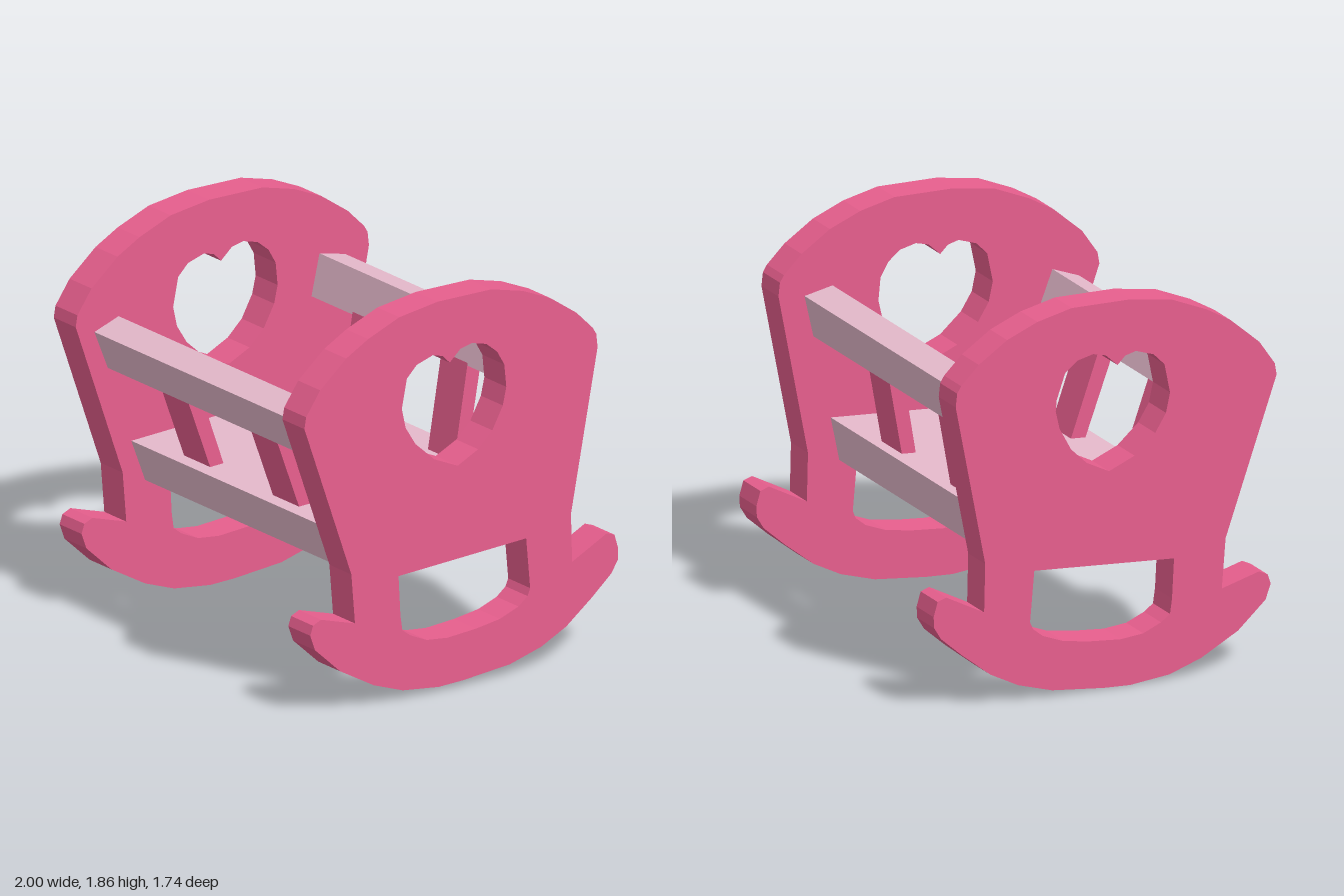
import * as THREE from 'three';

const PIVOT_Y = 0.93;

// Points are [z, y] pairs; shapes are drawn with -z across, then swept along x
const toPoints = (pts) => pts.map(([z, y]) => new THREE.Vector2(-z, y - PIVOT_Y));

// Outlines run clockwise and holes counter-clockwise so every wall faces outward
function sweepX(pts, x0, x1, holes = []) {
  const shape = new THREE.Shape(toPoints(pts));
  for (const h of holes) shape.holes.push(new THREE.Path(toPoints(h)));
  const geo = new THREE.ExtrudeGeometry(shape, { depth: x1 - x0, bevelEnabled: false });
  geo.rotateY(Math.PI / 2);
  geo.translate(x0, 0, 0);
  return geo;
}

// End panel outline: arched head, flared sides, curved rocker
const outline = [
  [0.344, 1.835], [0.13, 1.867], [-0.166, 1.867], [-0.34, 1.825], [-0.493, 1.76],
  [-0.636, 1.662], [-0.725, 1.573], [-0.745, 1.54], [-0.752, 1.475], [-0.598, 0.708],
  [-0.602, 0.477], [-0.795, 0.575], [-0.838, 0.56], [-0.858, 0.49], [-0.855, 0.437],
  [-0.82, 0.38], [-0.71, 0.285], [-0.567, 0.175], [-0.428, 0.106], [-0.255, 0.057],
  [0.007, 0.032], [0.14, 0.027], [0.34, 0.05], [0.5, 0.106], [0.686, 0.21],
  [0.824, 0.338], [0.85, 0.412], [0.834, 0.457], [0.79, 0.477], [0.602, 0.422],
  [0.62, 0.66], [0.874, 1.405], [0.864, 1.46], [0.785, 1.573], [0.64, 1.696], [0.517, 1.765],
];
const heart = [
  [0.067, 1.563], [0.106, 1.602], [0.16, 1.617], [0.25, 1.588], [0.305, 1.533],
  [0.334, 1.395], [0.314, 1.3], [0.26, 1.212], [0.156, 1.118], [0.027, 1.062],
  [-0.087, 1.118], [-0.166, 1.193], [-0.225, 1.3], [-0.245, 1.385], [-0.235, 1.494],
  [-0.196, 1.563], [-0.136, 1.612], [-0.057, 1.632], [0.007, 1.617],
];
const slot = [
  [0.35, 0.41], [0.34, 0.338], [0.295, 0.304], [0.205, 0.264], [0.09, 0.252],
  [-0.067, 0.264], [-0.2, 0.284], [-0.304, 0.323], [-0.354, 0.363], [-0.369, 0.398],
  [-0.349, 0.64], [0.359, 0.6],
];

// Cross-sections of the parts between the panels
const frontRailSection = [[0.63, 1.395], [0.765, 1.346], [0.692, 1.16], [0.56, 1.21]];
const backRailSection = [[-0.484, 1.474], [-0.626, 1.443], [-0.58, 1.245], [-0.438, 1.278]];
const bedSection = [[0.565, 0.786], [-0.49, 0.845], [-0.445, 0.636], [0.49, 0.584]];
const frontSlatSection = [[0.572, 1.22], [0.645, 1.2], [0.495, 0.78], [0.42, 0.78]];
const backSlatSection = [[-0.44, 1.29], [-0.512, 1.275], [-0.43, 0.832], [-0.36, 0.83]];

export function createModel() {
  const pink = new THREE.MeshStandardMaterial({ color: 0xe85f8e });
  pink.name = 'rosePink';
  const mauve = new THREE.MeshStandardMaterial({ color: 0xe5b9cb });
  mauve.name = 'paleMauve';

  const cradle = new THREE.Group();
  cradle.name = 'cradle';
  const add = (name, geo, mat) => {
    const mesh = new THREE.Mesh(geo, mat);
    mesh.name = name;
    cradle.add(mesh);
    return mesh;
  };

  // Matching end panels with heart cut-out and rocker slot
  for (const [name, x0] of [['leftEndPanel', 0.814], ['rightEndPanel', -0.987]]) {
    const panel = add(name, sweepX(outline, x0, x0 + 0.173, [heart, slot]), pink);
    panel.position.set(0, -0.016, -0.006);
  }

  // Rails and bed board spanning the panels
  add('frontRail', sweepX(frontRailSection, -0.83, 0.83), mauve);
  add('backRail', sweepX(backRailSection, -0.83, 0.83), mauve);
  add('bedBoard', sweepX(bedSection, -0.83, 0.83), mauve);

  // Two slats on each side
  for (const x of [-0.39, 0.31]) {
    add('frontSlat', sweepX(frontSlatSection, x - 0.103, x + 0.103), pink);
    add('backSlat', sweepX(backSlatSection, x - 0.103, x + 0.103), pink);
  }

  // The cradle rests very slightly askew
  cradle.position.y = PIVOT_Y;
  cradle.rotation.set(0, -0.006, 0.012);

  const model = new THREE.Group();
  model.name = 'rockingCradle';
  model.add(cradle);
  return model;
}
